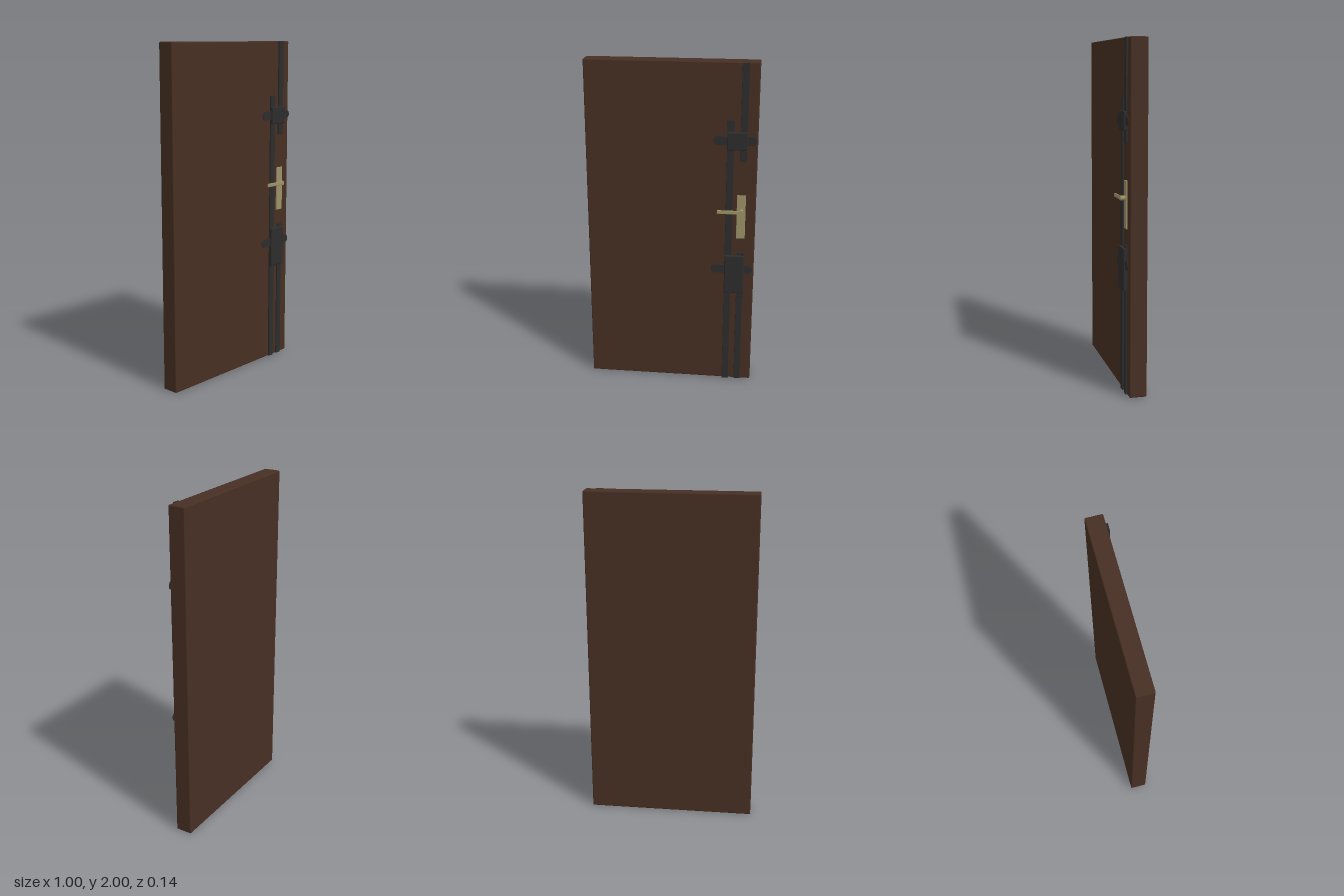
import * as THREE from 'three';
import { RoundedBoxGeometry } from 'three/addons/geometries/RoundedBoxGeometry.js';

const wood = new THREE.MeshStandardMaterial({ color: 0x472f23 });
const iron = new THREE.MeshStandardMaterial({ color: 0x2d2d2d });
const brass = new THREE.MeshStandardMaterial({ color: 0x9c9268 });

export function createModel() {
  const model = new THREE.Group();
  model.name = 'door';

  const add = (name, geometry, material) => {
    const mesh = new THREE.Mesh(geometry, material);
    mesh.name = name;
    model.add(mesh);
    return mesh;
  };

  // Box given by its limits, with an optional rounded edge
  const box = (name, material, [x0, x1], [y0, y1], [z0, z1], radius = 0) => {
    const size = [x1 - x0, y1 - y0, z1 - z0];
    const geometry = radius
      ? new RoundedBoxGeometry(...size, 2, radius)
      : new THREE.BoxGeometry(...size);
    add(name, geometry, material)
      .position.set((x0 + x1) / 2, (y0 + y1) / 2, (z0 + z1) / 2);
  };

  // Door leaf
  box('doorLeaf', wood, [-0.5, 0.5], [0, 2], [-0.07, 0.03], 0.006);

  // Vertical locking bars
  box('longBar', iron, [0.325, 0.365], [0, 1.675], [0.03, 0.04], 0.002);
  box('upperBar', iron, [0.4, 0.441], [1.43, 2], [0.03, 0.04], 0.002);
  box('lowerBar', iron, [0.4, 0.438], [0, 0.58], [0.03, 0.039], 0.002);
  box('lowerBarEnd', iron, [0.4, 0.441], [0.575, 0.865], [0.03, 0.04], 0.002);

  // Lock housings, each on a thin cross strap with round ends
  const latch = (name, y0, y1, strapY) => {
    box(name + 'Housing', iron, [0.325, 0.442], [y0, y1], [0.031, 0.053], 0.006);
    const r = 0.026;
    const strap = new THREE.Shape();
    strap.absarc(0.245 + r, strapY, r, Math.PI / 2, Math.PI * 1.5, false);
    strap.absarc(0.495 - r, strapY, r, -Math.PI / 2, Math.PI / 2, false);
    const geometry = new THREE.ExtrudeGeometry(strap, {
      depth: 0.004, bevelEnabled: false, curveSegments: 12,
    });
    add(name + 'Strap', geometry, iron).position.z = 0.039;
  };
  latch('upperLatch', 1.5, 1.605, 1.554);
  latch('lowerLatch', 0.602, 0.846, 0.756);

  // Handle: back plate, spindle and lever
  box('handlePlate', brass, [0.39, 0.442], [0.955, 1.225], [0.029, 0.038], 0.002);
  const spindle = add('handleSpindle', new THREE.CylinderGeometry(0.014, 0.014, 0.032, 20), brass);
  spindle.rotation.x = Math.PI / 2;
  spindle.position.set(0.415, 1.127, 0.05);
  box('handleLever', brass, [0.275, 0.42], [1.116, 1.138], [0.057, 0.066], 0.003);

  return model;
}
